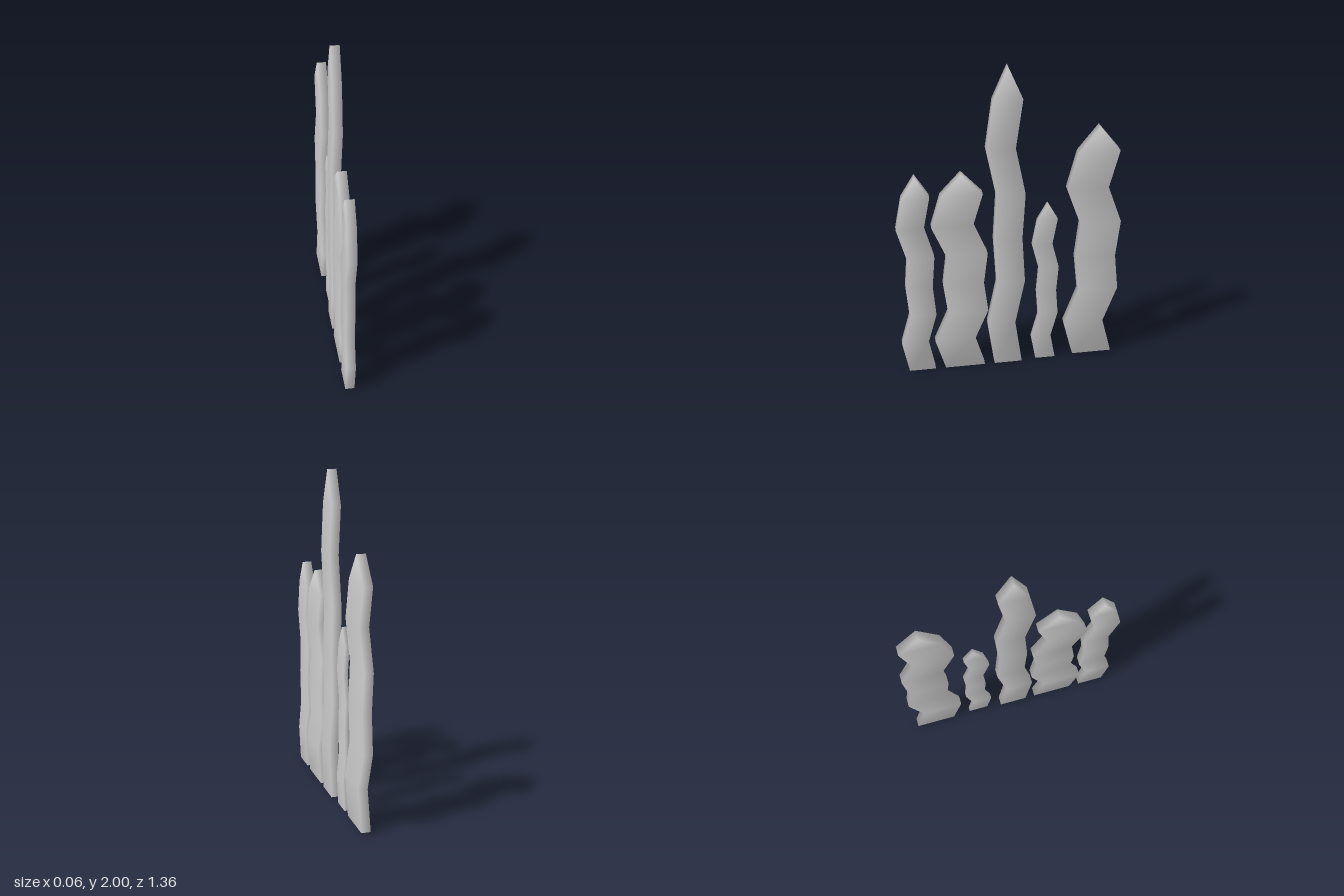
import * as THREE from 'three';

// Sideways sway of the blade's centreline at each level, in blade widths
const SWAY = [0, 0.24, -0.1, 0, -0.1, 0.24, 0];

// One wavy flat blade: rectangular cross-sections ending in a ridge-shaped tip
function bladeGeometry(width, halfThick, base, top) {
  const positions = [], index = [];
  const height = top - base;
  SWAY.forEach((sway, i) => {
    const y = base + height * 0.9 * i / (SWAY.length - 1);
    const front = (sway + 0.5) * width, back = (sway - 0.5) * width;
    positions.push(
      halfThick, y, front, halfThick, y, back,
      -halfThick, y, back, -halfThick, y, front);
  });
  // Tip ridge
  const tip = positions.length / 3;
  positions.push(halfThick, top, 0, -halfThick, top, 0);

  // Walls between neighbouring cross-sections
  for (let i = 0; i < SWAY.length - 1; i++) {
    for (let j = 0; j < 4; j++) {
      const a = i * 4 + j, b = i * 4 + (j + 1) % 4;
      index.push(a, b, b + 4, a, b + 4, a + 4);
    }
  }
  // Pointed end
  const s = tip - 4;
  index.push(
    s, s + 1, tip,
    s + 2, s + 3, tip + 1,
    s + 1, s + 2, tip + 1, s + 1, tip + 1, tip,
    s + 3, s, tip, s + 3, tip, tip + 1);
  // Underside
  index.push(0, 3, 2, 0, 2, 1);

  const geometry = new THREE.BufferGeometry();
  geometry.setAttribute('position', new THREE.Float32BufferAttribute(positions, 3));
  geometry.setIndex(index);
  geometry.computeVertexNormals();
  return geometry;
}

export function createModel() {
  const group = new THREE.Group();
  group.name = 'seaweed';
  const material = new THREE.MeshStandardMaterial({ color: 0xcccccc });
  const blades = [
    { name: 'frontBlade', z: 0.562, width: 0.165, halfThick: 0.028, base: 0, top: 1.355 },
    { name: 'wideFrontBlade', z: 0.29, width: 0.25, halfThick: 0.028, base: 0, top: 1.355 },
    { name: 'tallMiddleBlade', z: 0.015, width: 0.174, halfThick: 0.028, base: 0, top: 2 },
    { name: 'smallBlade', z: -0.227, width: 0.125, halfThick: 0.014, base: 0, top: 1.12 },
    { name: 'wideBackBlade', z: -0.527, width: 0.25, halfThick: 0.028, base: 0.02, top: 1.6 },
  ];
  for (const { name, z, width, halfThick, base, top } of blades) {
    const blade = new THREE.Mesh(bladeGeometry(width, halfThick, base, top), material);
    blade.name = name;
    blade.position.z = z;
    group.add(blade);
  }
  return group;
}
